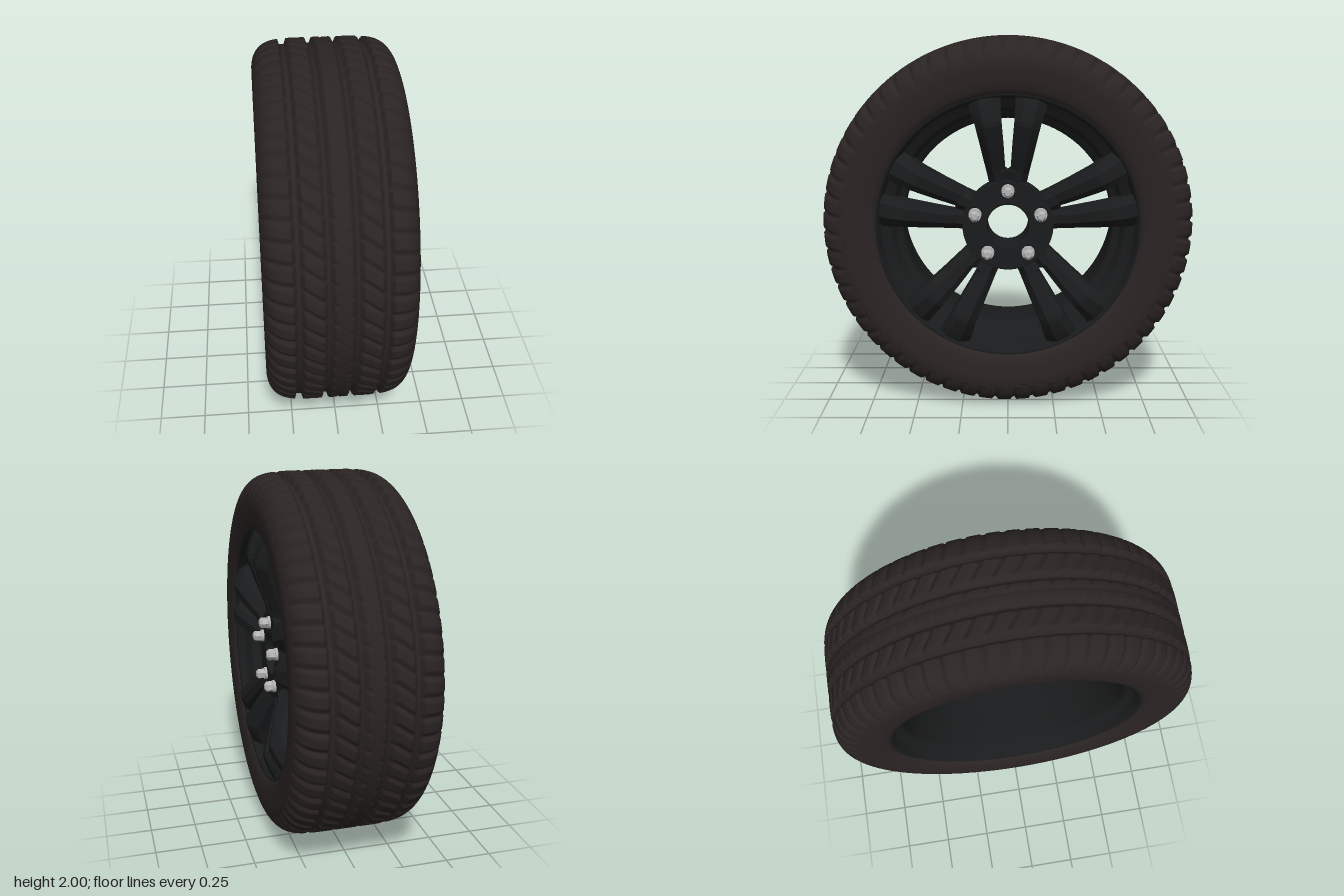
import * as THREE from 'three';
import { mergeVertices } from 'three/addons/utils/BufferGeometryUtils.js';

const MID = -0.005; // middle of the tyre along the axle (x)
const mat = (color, extra = {}) => new THREE.MeshStandardMaterial({ color, ...extra });

function part(name, geometry, material, parent) {
  const mesh = new THREE.Mesh(geometry, material);
  mesh.name = name;
  parent.add(mesh);
  return mesh;
}

// Lathe around the x axis from [radius, x] pairs
function axleLathe(points, segments) {
  const g = new THREE.LatheGeometry(points.map(([r, x]) => new THREE.Vector2(r, x)), segments);
  return g.rotateZ(-Math.PI / 2);
}

// Tread: columns are sheared along the sipe lines, then pressed in to cut the grooves
function tyreGeometry() {
  const pitches = 60, columns = 8, steps = 104;
  const profile = [[0.69, -0.33], [0.7, -0.35], [0.73, -0.367], [0.78, -0.377]];
  const first = profile.length;
  for (let i = 0; i <= steps; i++) {
    const t = Math.sin((i / steps - 0.5) * Math.PI);
    profile.push([0.84 + 0.16 * Math.sqrt(Math.max(0, 1 - t ** 6)), 0.38 * t]);
  }
  const last = profile.length - 1;
  profile.push([0.78, 0.377], [0.73, 0.367], [0.7, 0.35], [0.69, 0.33]);

  const smooth = THREE.MathUtils.smoothstep;
  const shear = x => 0.085 * (smooth(x, -0.23, -0.06) + smooth(x, 0.06, 0.23)) +
    0.05 * THREE.MathUtils.clamp(x / 0.06, -1, 1) + 0.03 * (x / 0.38) ** 3;
  const depthAt = (x, col) => {
    const a = Math.abs(x);
    if (Math.abs(a - 0.07) < 0.013 || Math.abs(a - 0.21) < 0.016) return 0.03; // main grooves
    if (a < 0.004) return 0.006;                                                // centre line
    if (a > 0.235) return col < 2 ? 0.016 * (1 - smooth(a, 0.368, 0.379)) : 0;  // shoulders
    if (a > 0.08) return col < 2 ? 0.014 : 0;                                   // middle ribs
    return a > 0.025 && col === 0 ? 0.012 : 0;                                  // centre slits
  };

  const count = profile.length, points = profile.map(([r, x]) => new THREE.Vector2(r, x));
  const g = new THREE.LatheGeometry(points, pitches * columns);
  const pos = g.attributes.position;
  for (let v = 0; v < pos.count; v++) {
    const j = v % count, i = Math.floor(v / count);
    if (j <= first || j >= last) {
      if (j < first || j > last) continue;
    }
    const [r, x] = profile[j];
    const phi = i / (pitches * columns) * Math.PI * 2 + shear(x) * (1 - smooth(Math.abs(x), 0.374, 0.38));
    const rr = r - depthAt(x, i % columns);
    pos.setXYZ(v, rr * Math.sin(phi), x, rr * Math.cos(phi));
  }
  g.deleteAttribute('uv');
  g.deleteAttribute('normal');
  const merged = mergeVertices(g, 1e-5);
  merged.computeVertexNormals();
  return merged.rotateZ(-Math.PI / 2).translate(MID, 0, 0);
}

// One arm of a double spoke, lofted outward; side is +1 or -1
function spokeGeometry(side) {
  // radius, inner edge, outer edge, back x, front x
  const stations = [
    [0.232, 0, 0.098, 0.13, 0.285],
    [0.29, 0, 0.11, 0.16, 0.297],
    [0.302, 0.015, 0.113, 0.165, 0.3],
    [0.42, 0.023, 0.139, 0.2, 0.345],
    [0.54, 0.033, 0.166, 0.22, 0.384],
    [0.565, 0.035, 0.172, 0.22, 0.384],
    [0.64, 0.038, 0.198, 0.22, 0.36],
    [0.7, 0.04, 0.215, 0.22, 0.332]
  ];
  const pts = [], index = [], n = 6;
  for (const [r, a, b, back, front] of stations) {
    const w = b - a;
    const section = [[a, back], [a, front - 0.028], [a + 0.25 * w, front],
      [a + 0.68 * w, front], [b, front - 0.05], [b, back]];
    for (const [z, x] of section) pts.push(x, Math.sqrt(r * r - z * z), side * z);
  }
  for (let i = 0; i < stations.length - 1; i++) {
    for (let j = 0; j < n; j++) {
      const k = (j + 1) % n;
      const a = i * n + j, b = a + n, c = (i + 1) * n + k, d = i * n + k;
      index.push(...(side > 0 ? [a, b, c, a, c, d] : [a, c, b, a, d, c]));
    }
  }
  let g = new THREE.BufferGeometry();
  g.setAttribute('position', new THREE.Float32BufferAttribute(pts, 3));
  g.setIndex(index);
  g = g.toNonIndexed();
  g.computeVertexNormals();
  return g;
}

// Hub plate with a centre bore and five nut pockets
function hubGeometry() {
  const shape = new THREE.Shape().absarc(0, 0, 0.238, 0, Math.PI * 2);
  const hole = (x, y, r) => shape.holes.push(new THREE.Path().absarc(x, y, r, 0, Math.PI * 2, true));
  hole(0, 0, 0.118);
  for (let k = 0; k < 5; k++) {
    const a = Math.PI / 2 + k * Math.PI * 0.4;
    hole(0.185 * Math.cos(a), 0.185 * Math.sin(a), 0.043);
  }
  return new THREE.ExtrudeGeometry(shape, {
    depth: 0.04, curveSegments: 40, bevelEnabled: true, bevelSize: 0.006, bevelThickness: 0.008, bevelSegments: 2
  }).rotateY(Math.PI / 2).translate(0.24, 0, 0);
}

export function createModel() {
  const model = new THREE.Group();
  model.name = 'carWheel';
  const wheel = new THREE.Group();
  wheel.name = 'wheel';
  wheel.position.y = 1;
  model.add(wheel);

  const rubber = mat(0x2a2423);
  const alloy = mat(0x1a1b1c, { side: THREE.DoubleSide });
  const facetAlloy = mat(0x1a1b1c, { side: THREE.DoubleSide, flatShading: true });
  const steel = mat(0xb4b4b4, { flatShading: true });

  part('tyre', tyreGeometry(), rubber, wheel);

  // Rim: front lip, stepped well, barrel and back lip
  part('rimBarrel', axleLathe([
    [0.7, 0.325], [0.708, 0.34], [0.7, 0.348], [0.688, 0.342], [0.68, 0.31], [0.672, 0.295],
    [0.635, 0.28], [0.617, 0.265], [0.61, 0.225], [0.6, 0.212], [0.575, 0.2], [0.566, 0.185],
    [0.566, 0.11], [0.58, 0.03], [0.6, -0.15], [0.612, -0.26], [0.625, -0.28], [0.66, -0.295],
    [0.672, -0.31], [0.682, -0.34], [0.695, -0.355], [0.708, -0.352], [0.708, -0.33]
  ], 96), alloy, wheel);

  // Hub: front plate and the body behind it
  part('hubPlate', hubGeometry(), alloy, wheel);
  part('hubBody', axleLathe([
    [0.112, 0.285], [0.112, 0.08], [0.2, 0.08], [0.236, 0.12], [0.238, 0.25], [0.112, 0.25]
  ], 64), facetAlloy, wheel);

  // Five double spokes, each with its nut
  const arms = { leftArm: spokeGeometry(1), rightArm: spokeGeometry(-1) };
  for (let k = 0; k < 5; k++) {
    const spoke = new THREE.Group();
    spoke.name = 'doubleSpoke' + (k + 1);
    spoke.rotation.x = k * Math.PI * 0.4;
    wheel.add(spoke);
    for (const name in arms) part(name, arms[name], facetAlloy, spoke);

    const nut = new THREE.Group();
    nut.name = 'wheelNut';
    nut.position.set(0.25, 0.185, 0);
    nut.rotation.z = -Math.PI / 2;
    spoke.add(nut);
    const collar = part('nutCollar', new THREE.CylinderGeometry(0.034, 0.036, 0.05, 20), steel, nut);
    collar.position.y = 0.025;
    const hex = part('nutHex', new THREE.CylinderGeometry(0.03, 0.03, 0.035, 6), steel, nut);
    hex.position.y = 0.0675;
    const cap = part('nutCap', new THREE.CylinderGeometry(0.018, 0.029, 0.01, 6), steel, nut);
    cap.position.y = 0.09;
  }
  return model;
}
